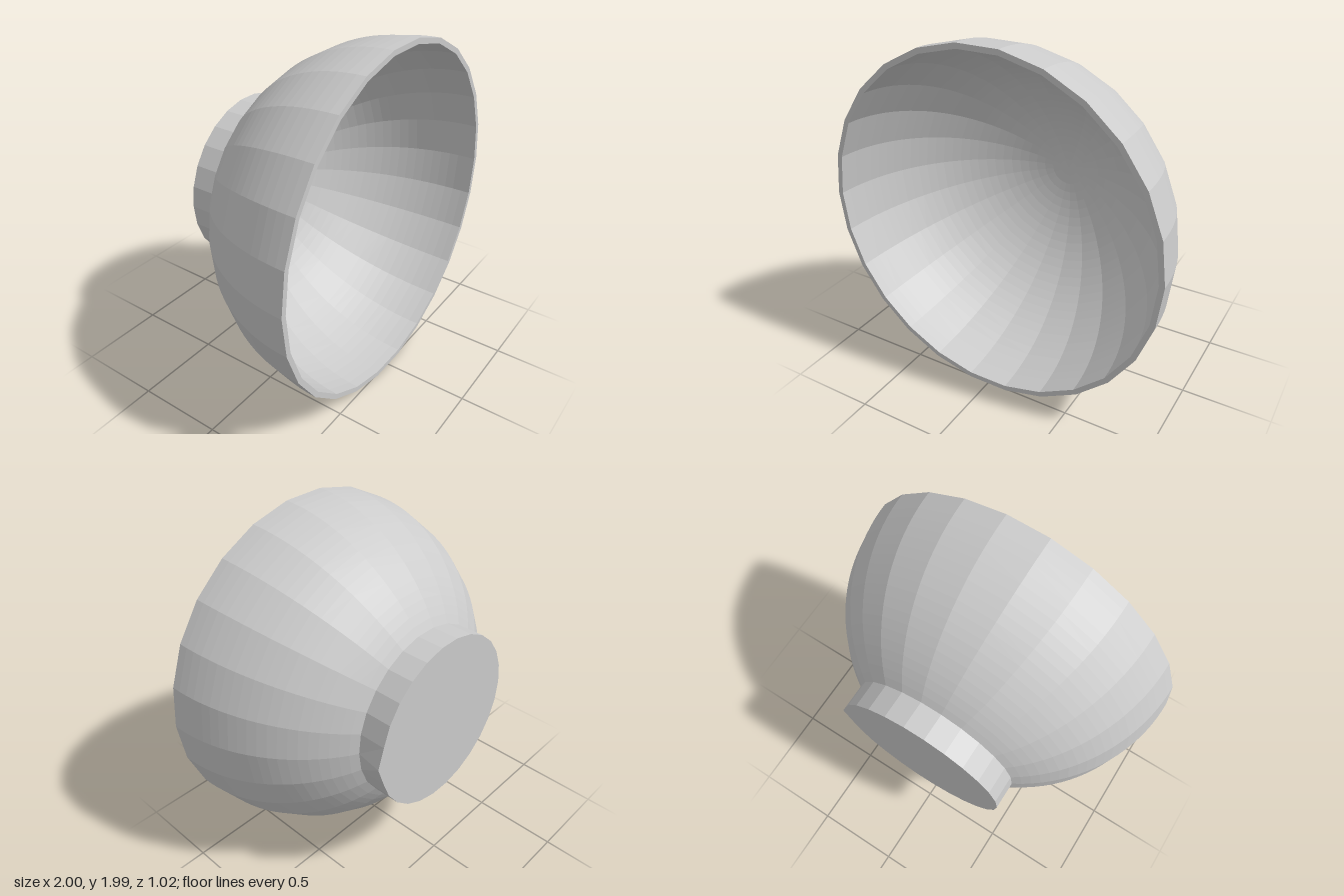
import * as THREE from 'three';

const SIDES = 26;
const RIM_Z = 0.51, BACK_Z = -0.51;
const OUTER_R = 1, INNER_R = 0.97, FOOT_R = 0.5;

// Points on a hemisphere profile, swept between two angles from the back pole
function arc(radius, from, to, steps) {
  return Array.from({ length: steps + 1 }, (_, i) => {
    const a = from + (to - from) * i / steps;
    return new THREE.Vector2(Math.max(0, radius * Math.sin(a)), RIM_Z - radius * Math.cos(a));
  });
}

// Turn a profile around the z axis, with a corner on the +x side
function turned(name, profile, material) {
  const geometry = new THREE.LatheGeometry(profile, SIDES, Math.PI / 2);
  geometry.rotateX(Math.PI / 2);
  const mesh = new THREE.Mesh(geometry, material);
  mesh.name = name;
  mesh.position.y = 1;
  return mesh;
}

export function createModel() {
  const group = new THREE.Group();
  group.name = 'bowl';
  const material = new THREE.MeshStandardMaterial({ color: 0xcccccc, flatShading: true });

  // Thin hemispherical shell: outside, flat rim, inside
  const footAngle = Math.asin(FOOT_R / OUTER_R);
  group.add(turned('shell', [
    ...arc(OUTER_R, footAngle, Math.PI / 2, 20),
    ...arc(INNER_R, Math.PI / 2, 0, 28),
  ], material));

  // Short round foot closed by a flat base
  const foot = turned('foot', [
    new THREE.Vector2(0, BACK_Z),
    new THREE.Vector2(FOOT_R, BACK_Z),
    new THREE.Vector2(FOOT_R, RIM_Z - OUTER_R * Math.cos(footAngle)),
  ], material);

  // One corner of the base edge flares out slightly on the left side
  const p = foot.geometry.attributes.position;
  for (let i = 0; i < p.count; i++) {
    if (p.getX(i) > FOOT_R - 0.001 && p.getZ(i) < BACK_Z + 0.01) p.setX(i, 0.525);
  }
  group.add(foot);

  return group;
}
